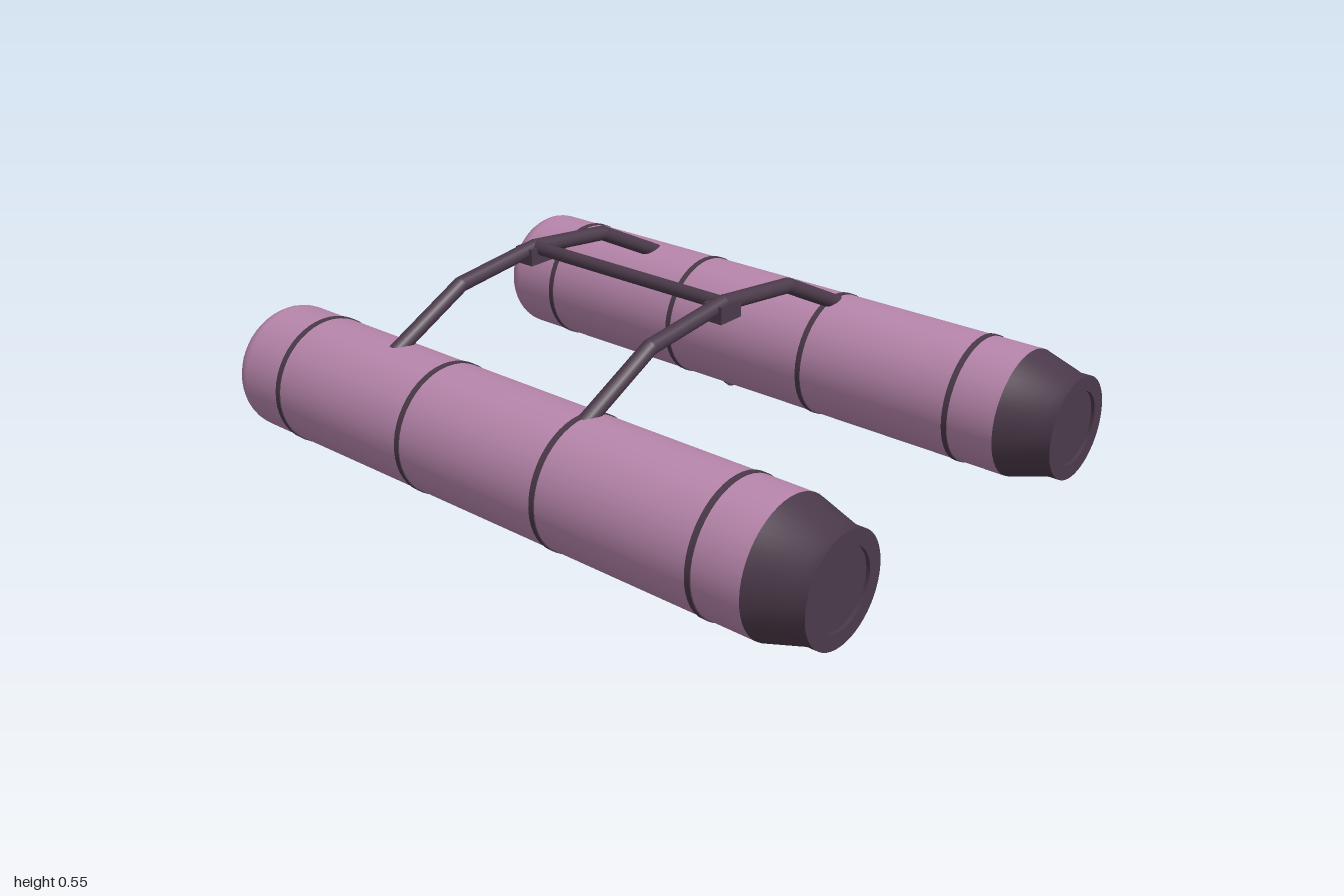
import * as THREE from 'three';
import { toCreasedNormals } from 'three/addons/utils/BufferGeometryUtils.js';

const pink = new THREE.MeshStandardMaterial({ color: 0xb987ad });
pink.name = 'mauve shell';
const dark = new THREE.MeshStandardMaterial({ color: 0x4b3a4a });
dark.name = 'dark plum';

const TANK_X = 0.54, TANK_Y = 0.207, RADIUS = 0.18;

function add(parent, name, geometry, material) {
  const mesh = new THREE.Mesh(geometry, material);
  mesh.name = name;
  parent.add(mesh);
  return mesh;
}

// Solid of revolution along z from [radius, z] pairs, running back to front
function turned(profile, segments = 48) {
  const points = profile.map(([r, z]) => new THREE.Vector2(r, z));
  const geometry = new THREE.LatheGeometry(points, segments).rotateX(Math.PI / 2);
  return toCreasedNormals(geometry, 0.4);
}

// Round bar between two points
function rod(parent, name, a, b, radius) {
  const dir = b.clone().sub(a);
  const mesh = add(parent, name, new THREE.CylinderGeometry(radius, radius, dir.length(), 16), dark);
  mesh.position.copy(a).add(b).multiplyScalar(0.5);
  mesh.quaternion.setFromUnitVectors(new THREE.Vector3(0, 1, 0), dir.normalize());
}

function createTank(side) {
  const tank = new THREE.Group();
  tank.name = side > 0 ? 'leftTank' : 'rightTank';
  tank.position.set(side * TANK_X, TANK_Y, 0);

  // Shell with an elliptical dome at the back
  const shell = [];
  for (let i = 0; i <= 14; i++) {
    const a = (i / 14) * Math.PI / 2;
    shell.push([RADIUS * Math.sin(a), -0.9 - 0.1 * Math.cos(a)]);
  }
  shell.push([RADIUS, 0.85]);
  add(tank, 'shell', turned(shell), pink);

  // Tapered front cap with a shallow recessed face
  add(tank, 'frontCap', turned([
    [RADIUS, 0.85], [0.145, 0.965], [0.145, 1], [0.103, 1], [0.103, 0.99], [0, 0.99],
  ]), dark);

  // Bands around the shell
  for (const z of [0.705, 0.22, -0.265, -0.755]) {
    add(tank, 'band', turned([
      [0.178, z - 0.008], [0.183, z - 0.008], [0.183, z + 0.008], [0.178, z + 0.008],
    ]), dark);
  }

  // Small half-buried conical scoop underneath
  const scoop = add(tank, 'scoop', turned([[0, -0.3], [0.055, -0.145], [0, -0.145]], 24), dark);
  scoop.position.y = 0.055 - TANK_Y;
  return tank;
}

function createArch(z) {
  const arch = new THREE.Group();
  arch.name = z > 0 ? 'frontArch' : 'backArch';
  arch.position.z = z;
  const path = [[-0.54, 0.368], [-0.29, 0.493], [0, 0.526], [0.29, 0.493], [0.54, 0.368]]
    .map(([x, y]) => new THREE.Vector3(x, y, 0));
  for (let i = 0; i < path.length - 1; i++) rod(arch, 'archBar', path[i], path[i + 1], 0.022);
  // Elbows close the bends
  for (const p of path.slice(1, -1)) {
    add(arch, 'elbow', new THREE.SphereGeometry(0.022, 16, 12), dark).position.copy(p);
  }
  add(arch, 'clamp', new THREE.BoxGeometry(0.084, 0.048, 0.062), dark).position.y = 0.508;
  return arch;
}

export function createModel() {
  const model = new THREE.Group();
  model.name = 'twinTankFrame';
  model.add(createTank(1), createTank(-1), createArch(0.225), createArch(-0.465));
  rod(model, 'spine', new THREE.Vector3(0, 0.526, -0.465), new THREE.Vector3(0, 0.526, 0.225), 0.019);
  return model;
}
